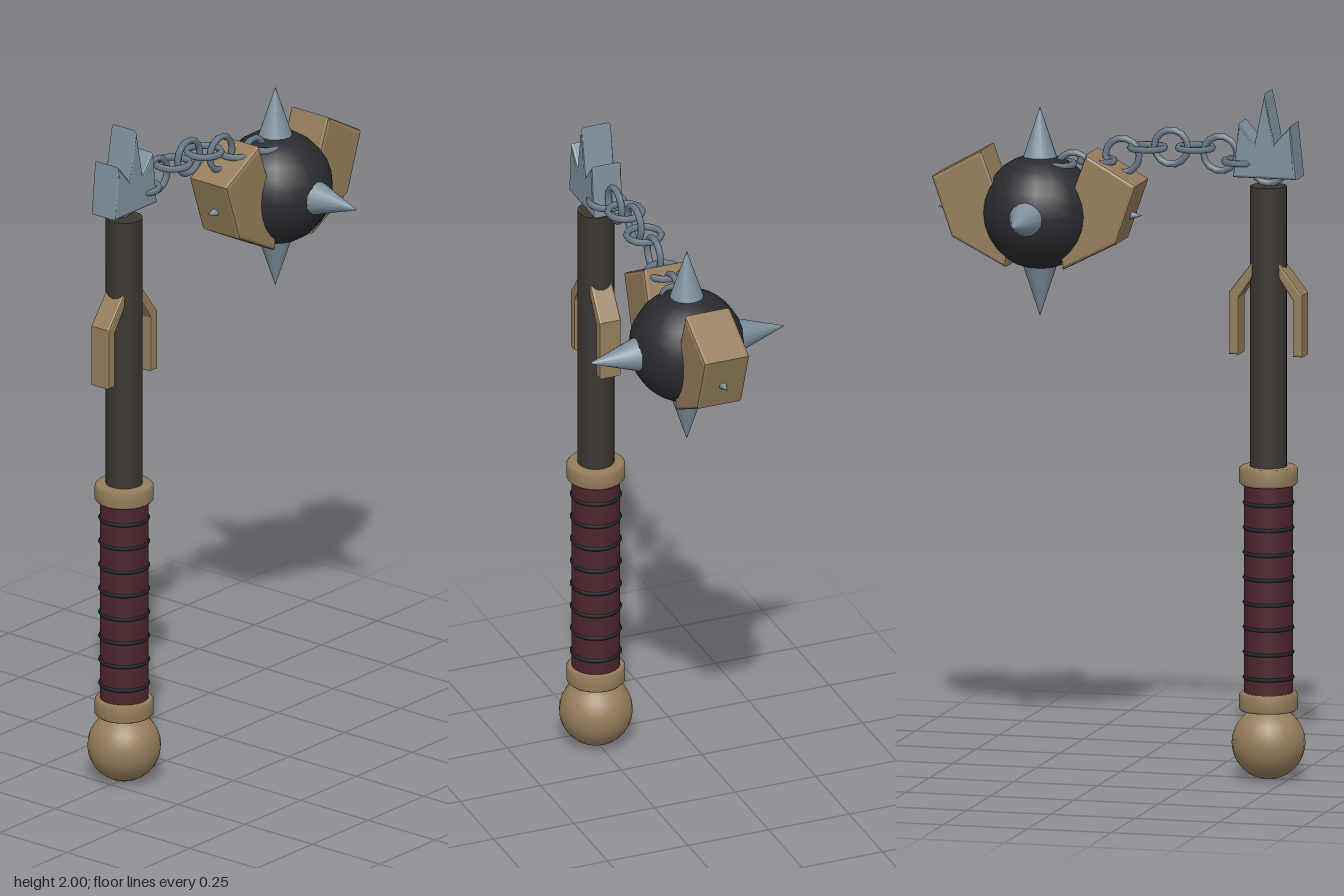
import * as THREE from 'three';

const mat = (color, flatShading = false) => new THREE.MeshStandardMaterial({ color, flatShading });

export function createModel() {
  const flail = new THREE.Group();
  flail.name = 'flail';
  const tan = mat(0x957d5b), wood = mat(0x3b3630), leather = mat(0x4c252c);
  const iron = mat(0x2a2b2f), steel = mat(0x7d8f9c), band = mat(0x20242a), chainSteel = mat(0x6b7a88);

  const add = (parent, name, geometry, material, x = 0, y = 0, z = 0) => {
    const mesh = new THREE.Mesh(geometry, material);
    mesh.name = name;
    mesh.position.set(x, y, z);
    parent.add(mesh);
    return mesh;
  };

  // Bevelled plate cut from an outline, centred on z = 0
  const plate = (points, halfDepth, bevel) => {
    const shape = new THREE.Shape(points.map(([x, y]) => new THREE.Vector2(x, y)));
    const depth = 2 * (halfDepth - bevel);
    return new THREE.ExtrudeGeometry(shape, {
      depth, bevelThickness: bevel, bevelSize: bevel, bevelOffset: -bevel, bevelSegments: 2,
    }).translate(0, 0, -depth / 2);
  };

  // Handle, built around its own axis
  const handle = new THREE.Group();
  handle.name = 'handle';
  handle.position.x = -0.44;
  flail.add(handle);
  add(handle, 'pommel', new THREE.SphereGeometry(0.106, 24, 16), tan, 0, 0.106);
  add(handle, 'grip', new THREE.CylinderGeometry(0.07, 0.07, 0.64, 24), leather, 0, 0.55);
  add(handle, 'shaft', new THREE.CylinderGeometry(0.053, 0.053, 0.86, 20), wood, 0, 1.295);

  // Rounded collars at both ends of the grip
  const collarProfile = [
    [0.04, -0.027], [0.078, -0.027], [0.085, -0.02], [0.085, 0.02], [0.078, 0.027], [0.04, 0.027],
  ].map(([x, y]) => new THREE.Vector2(x, y));
  for (const y of [0.226, 0.883]) {
    add(handle, 'collar', new THREE.LatheGeometry(collarProfile, 24), tan, 0, y);
  }

  // Grip bindings
  for (let i = 0; i < 8; i++) {
    const ring = add(handle, 'gripBand', new THREE.TorusGeometry(0.069, 0.006, 6, 24), band, 0, 0.297 + i * 0.0725);
    ring.rotation.x = Math.PI / 2;
  }

  // Bent fins on both sides of the shaft
  const fin = [
    [0.03, 1.535], [0.045, 1.50], [0.11, 1.415], [0.11, 1.235], [0.08, 1.235], [0.08, 1.4], [0.03, 1.475],
  ];
  for (const side of [1, -1]) {
    const points = fin.map(([x, y]) => [x * side, y]);
    add(handle, 'shaftFin', plate(points, 0.034, 0.006), tan);
  }

  // Three-pointed head and the ring that holds it
  const crown = [
    [-0.095, 1.752], [0.095, 1.752], [0.078, 1.91], [0.03, 1.855], [0, 2.0],
    [-0.03, 1.855], [-0.078, 1.91],
  ];
  add(handle, 'crown', plate(crown, 0.046, 0.008), steel);
  add(handle, 'crownRing', new THREE.TorusGeometry(0.05, 0.01, 6, 16), chainSteel, 0, 1.782);

  // Chain: links alternate between lying flat and standing upright
  const chain = new THREE.Group();
  chain.name = 'chain';
  flail.add(chain);
  const links = [
    [-0.36, 1.793], [-0.296, 1.812], [-0.222, 1.826], [-0.15, 1.824],
    [-0.08, 1.82], [-0.005, 1.793], [0.07, 1.775], [0.14, 1.745], [0.19, 1.76],
  ];
  links.forEach(([x, y], i) => {
    const link = add(chain, 'chainLink', new THREE.TorusGeometry(0.05, 0.01, 6, 14), chainSteel, x, y);
    if (i % 2 === 0) link.rotation.x = Math.PI / 2;
  });

  // Spiked ball
  const head = new THREE.Group();
  head.name = 'spikedHead';
  head.position.set(0.24, 1.62, 0);
  flail.add(head);
  add(head, 'ball', new THREE.SphereGeometry(0.167, 18, 14), iron);
  const up = new THREE.Vector3(0, 1, 0);
  for (const d of [[0, 1, 0], [0, -1, 0], [0, 0, 1], [0, 0, -1], [1, 0, 0], [-1, 0, 0]]) {
    const dir = new THREE.Vector3(...d);
    const spike = add(head, 'spike', new THREE.ConeGeometry(0.055, 0.165, 16), steel);
    spike.position.copy(dir).multiplyScalar(0.222);
    spike.quaternion.setFromUnitVectors(up, dir);
  }

  // Armour blocks clasping the ball on both sides
  const block = [
    [0.155, 0.182], [0.305, 0.098], [0.245, -0.075], [0.085, -0.157], [0.07, -0.05], [0.11, 0.06],
  ];
  for (const side of [1, -1]) {
    const points = block.map(([x, y]) => [x * side, y]);
    add(head, 'armourBlock', plate(points, 0.071, 0.01), tan);
  }

  return flail;
}
